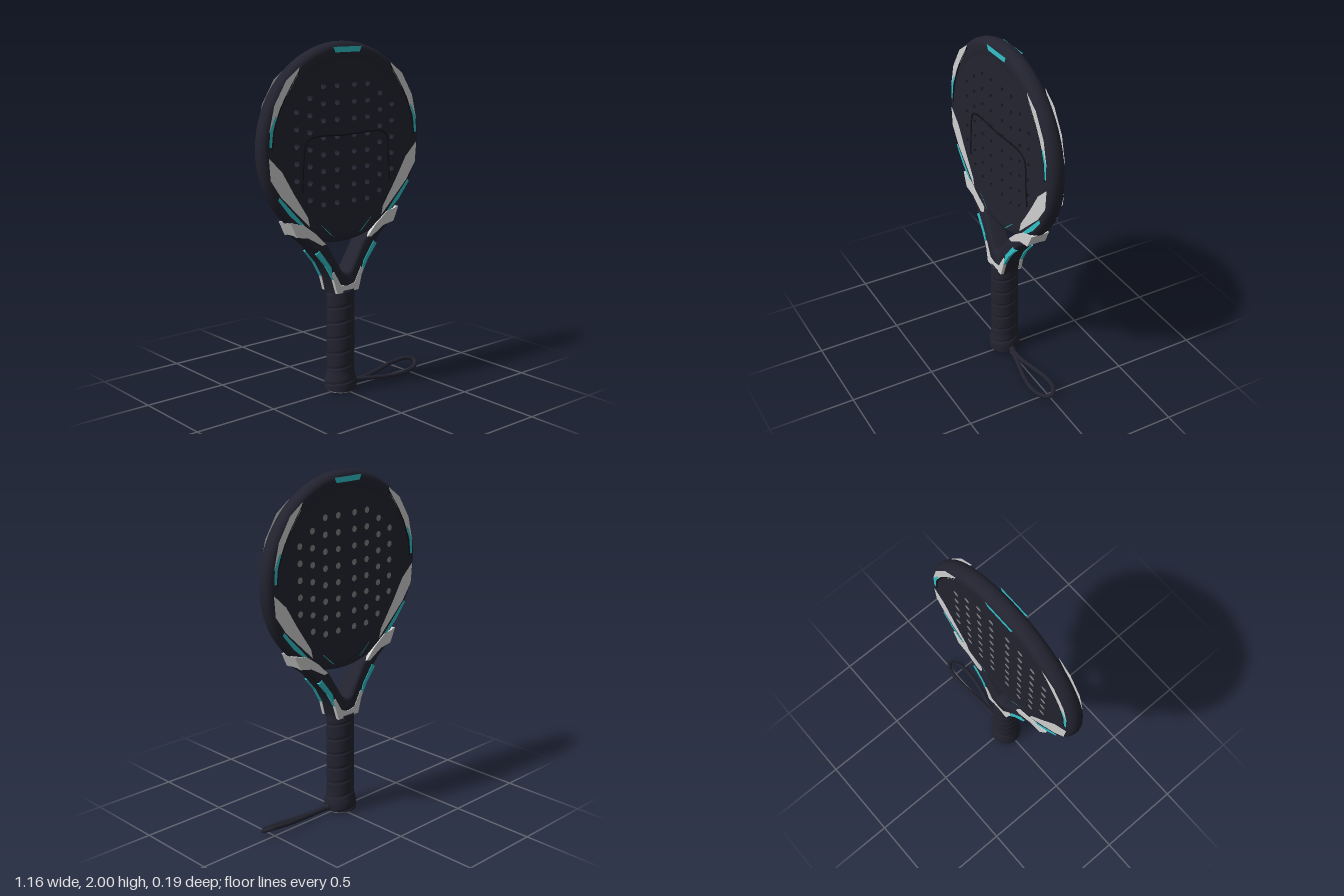
import * as THREE from 'three';
import { mergeGeometries, toCreasedNormals } from 'three/addons/utils/BufferGeometryUtils.js';

const material = (name, color, side = THREE.FrontSide) => {
  const m = new THREE.MeshStandardMaterial({ color, side });
  m.name = name;
  return m;
};
const V2 = (p) => new THREE.Vector2(p[0], p[1]);
const mirrorX = (pts) => pts.map(([x, y]) => [-x, y]);

const CY = 1.442, RX = 0.571, RY = 0.558; // head ellipse
const throatHalf = (y) => 0.052 + (1.03 - y) * 0.03; // throat thickens towards the grip

export function createModel() {
  const navy = material('dark navy', 0x22232f);
  const black = material('black trim', 0x101118);
  const white = material('light grey', 0xcfcfcf, THREE.DoubleSide);
  const teal = material('teal', 0x30c0c8, THREE.DoubleSide);
  const grey = material('hole grey', 0x808080, THREE.DoubleSide);

  const model = new THREE.Group();
  model.name = 'paddleRacket';
  const body = new THREE.Group();
  body.name = 'racketBody';
  body.position.set(-0.012, 0, -0.003);
  model.add(body);
  const add = (parent, name, geometry, mat) => {
    const mesh = new THREE.Mesh(geometry, mat);
    mesh.name = name;
    parent.add(mesh);
    return mesh;
  };

  // Hole positions: four mirrored pairs of columns
  const holes = [];
  const columns = [[0.062, 1.767, 8], [0.159, 1.767, 8], [0.253, 1.709, 7], [0.344, 1.64, 5]];
  for (const [x, top, count] of columns)
    for (let i = 0; i < count; i++)
      for (const s of [-1, 1]) holes.push([s * x, top - i * 0.0925]);

  // Perforated hitting face
  const face = new THREE.Shape();
  face.absellipse(0, CY, 0.54, 0.527, 0, Math.PI * 2);
  for (const [x, y] of holes) {
    const h = new THREE.Path();
    h.absarc(x, y, 0.0175, 0, Math.PI * 2, true);
    face.holes.push(h);
  }
  const faceGeo = new THREE.ExtrudeGeometry(face, { depth: 0.094, bevelEnabled: false, curveSegments: 8 });
  add(body, 'hittingFace', faceGeo.translate(0, 0, -0.047), navy);

  // Discs closing the holes at the back
  const discs = holes.map(([x, y]) => new THREE.CircleGeometry(0.018, 12).translate(x, y, -0.0476));
  add(body, 'holeBacks', mergeGeometries(discs), grey);

  // Rounded rim
  const half = [[0.48, 0.047], [0.5, 0.05], [0.535, 0.049], [0.553, 0.042], [0.565, 0.028], [RX, 0.01]];
  const profile = [...half.map(([r, z]) => [r, -z]), ...half.slice().reverse()].map(V2);
  const rim = new THREE.LatheGeometry(profile, 96).rotateX(Math.PI / 2);
  add(body, 'rim', rim.scale(1, RY / RX, 1).translate(0, CY, 0), navy);

  // Forked throat
  const arm = [[0.075, 0.59], [0.1, 0.683], [0.152, 0.772], [0.26, 0.894], [0.35, 0.963], [0.388, 1.035],
    [0.3, 1.0], [0.2, 0.93], [0.13, 0.885], [0.03, 0.722], [0.012, 0.71]];
  const throat = new THREE.Shape([...arm, ...mirrorX(arm).reverse()].map(V2));
  const throatGeo = new THREE.ExtrudeGeometry(throat, {
    depth: 0.06, bevelThickness: 0.02, bevelSize: 0.018, bevelOffset: -0.018, bevelSegments: 4,
  }).translate(0, 0, -0.03);
  const tp = throatGeo.attributes.position;
  for (let i = 0; i < tp.count; i++) tp.setZ(i, tp.getZ(i) / 0.05 * throatHalf(tp.getY(i)));
  throatGeo.deleteAttribute('normal');
  add(body, 'throat', toCreasedNormals(throatGeo, 0.7), navy);

  // Plate lying flat on the head
  const plate = (pts, z = 0.0535) => new THREE.ShapeGeometry(new THREE.Shape(pts.map(V2))).translate(0, 0, z);
  // Inlay following the throat surface and wrapping onto its sides
  const inlay = (pts, depth = 0.02) => {
    const g = new THREE.ExtrudeGeometry(new THREE.Shape(pts.map(V2)), { depth, bevelEnabled: false });
    const p = g.attributes.position;
    for (let i = 0; i < p.count; i++) p.setZ(i, p.getZ(i) - depth + 0.003 + throatHalf(p.getY(i)));
    g.computeVertexNormals();
    return g;
  };

  const upperFlash = [[0.325, 1.875], [0.415, 1.81], [0.495, 1.683], [0.53, 1.545], [0.51, 1.545], [0.455, 1.672], [0.34, 1.83]];
  const upperStripe = [[0.478, 1.625], [0.505, 1.55], [0.515, 1.465], [0.53, 1.465], [0.526, 1.55], [0.49, 1.625]];
  const lowerFlash = [[0.535, 1.41], [0.525, 1.29], [0.455, 1.19], [0.262, 1.005], [0.275, 1.06], [0.37, 1.2], [0.45, 1.33]];
  const lowerStripe = [[0.468, 1.195], [0.478, 1.18], [0.4, 1.085], [0.305, 1.005], [0.3, 1.02]];
  const baseStripe = [[0.18, 1.005], [0.19, 1.01], [0.12, 0.945], [0.095, 0.93]];
  const shoulder = [[0.393, 1.038], [0.31, 1.025], [0.22, 0.96], [0.155, 0.895], [0.18, 0.89], [0.275, 0.945], [0.354, 0.96]];
  const armStripe = [[0.104, 0.683], [0.156, 0.77], [0.222, 0.847], [0.2, 0.865], [0.12, 0.76]];
  const collar = [[0.079, 0.6], [0.104, 0.683], [0.12, 0.715], [0.1, 0.73], [0.05, 0.645], [0, 0.635]];

  // Same markings on front and back, mirrored left and right
  for (const [sideName, turn] of [['front', 0], ['back', Math.PI]]) {
    const side = new THREE.Group();
    side.name = sideName + 'Markings';
    side.rotation.y = turn;
    body.add(side);
    add(side, 'topBadge', plate([[-0.095, 1.972], [0.107, 1.972], [0.095, 1.942], [-0.08, 1.942]]), teal);
    for (const flip of [(p) => p, mirrorX]) {
      add(side, 'upperFlash', plate(flip(upperFlash)), white);
      add(side, 'upperStripe', plate(flip(upperStripe), 0.0545), teal);
      add(side, 'lowerFlash', plate(flip(lowerFlash)), white);
      add(side, 'lowerStripe', plate(flip(lowerStripe)), teal);
      add(side, 'baseStripe', plate(flip(baseStripe)), teal);
      add(side, 'shoulderInlay', inlay(flip(shoulder)), white);
      add(side, 'armStripe', inlay(flip(armStripe)), teal);
      const line = flip([[0.325, 1.86], [0.44, 1.69], [0.5, 1.54], [0.51, 1.45]]);
      const curve = new THREE.CatmullRomCurve3(line.map(([x, y]) => new THREE.Vector3(x, y, 0.05)));
      add(side, 'edgeLine', new THREE.TubeGeometry(curve, 24, 0.005, 6), black);
    }
    add(side, 'collar', inlay([...collar, ...mirrorX(collar).reverse().slice(1), [-0.079, 0.598]]), white);
  }

  // White caps where the arms meet the rim
  const cap = [[0.395, 1.042], [0.372, 1.04], [0.33, 0.97], [0.358, 0.966]];
  for (const flip of [(p) => p, mirrorX]) add(body, 'shoulderCap', inlay(flip(cap), 0.11), white);

  // Raised frame line on the front face
  const frame = [[-0.31, 1.2], [-0.3, 1.36], [-0.285, 1.46], [-0.25, 1.49], [0, 1.492], [0.27, 1.49],
    [0.305, 1.46], [0.315, 1.36], [0.33, 1.2]].map(([x, y]) => new THREE.Vector3(x, y, 0.047));
  add(body, 'frameLine', new THREE.TubeGeometry(new THREE.CatmullRomCurve3(frame), 60, 0.006, 6), black);

  // Grip with spiral wrapping and flared end
  const grip = new THREE.CylinderGeometry(1, 1, 0.598, 40, 110).translate(0, 0.311, 0);
  const gp = grip.attributes.position;
  for (let i = 0; i < gp.count; i++) {
    const x = gp.getX(i), y = gp.getY(i), z = gp.getZ(i);
    const phase = y / 0.09 + Math.atan2(z, x) / (Math.PI * 2);
    const wrap = Math.min(1, (phase - Math.floor(phase)) * 5) * 0.005;
    const flare = 0.013 * THREE.MathUtils.smoothstep(0.13 - y, 0, 0.08);
    const r = 0.075 + wrap + flare;
    gp.setXYZ(i, x * r, y, z * r);
  }
  grip.computeVertexNormals();
  add(body, 'grip', grip, navy);
  add(body, 'endCap', new THREE.CylinderGeometry(0.082, 0.08, 0.014, 32).translate(0, 0.009, 0), grey);
  add(body, 'endCapPin', new THREE.CylinderGeometry(0.008, 0.008, 0.004, 12).translate(0, 0.002, 0), white);

  // Wrist strap loop
  const loop = [[0.07, 0.036, 0], [0.2, 0.026, 0.025], [0.33, 0.018, 0.055], [0.45, 0.02, 0.065], [0.54, 0.035, 0.045],
    [0.567, 0.052, 0.01], [0.53, 0.065, -0.02], [0.43, 0.06, -0.03], [0.3, 0.045, -0.015], [0.18, 0.034, 0], [0.07, 0.034, 0]]
    .map((p) => new THREE.Vector3(...p));
  add(model, 'wristStrap', new THREE.TubeGeometry(new THREE.CatmullRomCurve3(loop), 90, 0.0135, 8), navy);
  add(model, 'strapKnot', new THREE.SphereGeometry(0.02, 12, 8).translate(0.09, 0.035, 0), navy);

  return model;
}
